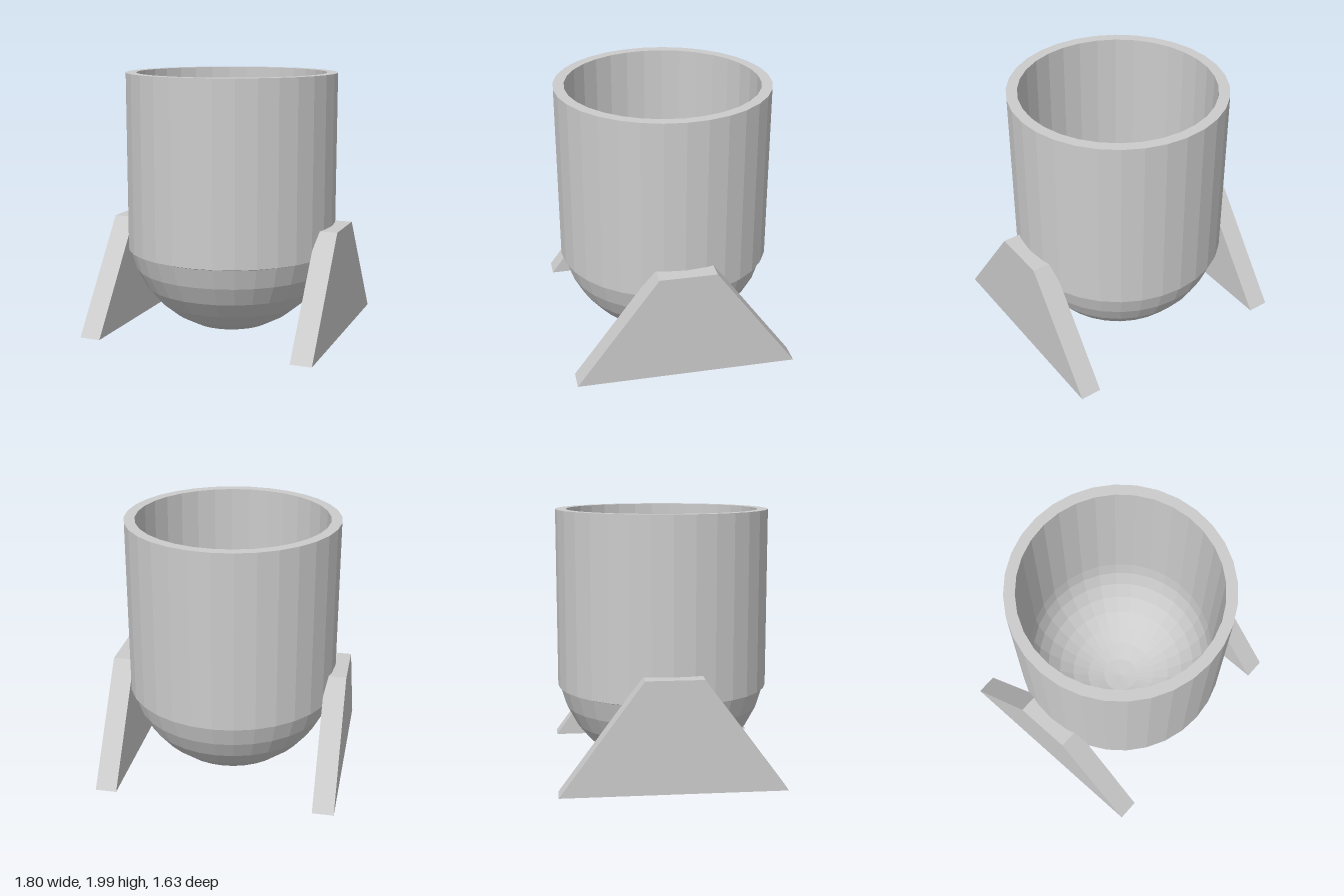
import * as THREE from 'three';

const CENTRE_Y = 0.81; // centre of the rounded bottom
const OUTER_R = 0.8;
const INNER_R = 0.72;
const SIDES = 32;
const RINGS = 8;

// Quarter-circle profile from the pole (k = 0) up to the given ring
function bowlProfile(radius, lastRing) {
  const points = [];
  for (let k = 0; k <= lastRing; k++) {
    const a = (k / RINGS) * Math.PI / 2;
    points.push(new THREE.Vector2(radius * Math.sin(a), CENTRE_Y - radius * Math.cos(a)));
  }
  return points;
}

export function createModel() {
  const group = new THREE.Group();
  const material = new THREE.MeshStandardMaterial({ color: 0xcccccc, flatShading: true });

  // Hollow cup: outer skin upwards, flat rim, inner skin back down
  const profile = [
    ...bowlProfile(OUTER_R, RINGS - 1),
    new THREE.Vector2(OUTER_R, 0.66),
    new THREE.Vector2(OUTER_R, 2),
    new THREE.Vector2(INNER_R, 2),
    ...bowlProfile(INNER_R, RINGS).reverse(),
  ];
  const cup = new THREE.Mesh(new THREE.LatheGeometry(profile, SIDES), material);
  cup.name = 'cup';
  group.add(cup);

  // Trapezoid side supports, let into the cup wall
  const outline = new THREE.Shape([
    new THREE.Vector2(-0.815, 0.05),
    new THREE.Vector2(0.815, 0.05),
    new THREE.Vector2(0.21, 0.87),
    new THREE.Vector2(-0.21, 0.87),
  ]);
  const supportGeometry = new THREE.ExtrudeGeometry(outline, { depth: 0.16, bevelEnabled: false });
  supportGeometry.translate(0, 0, 0.74).rotateY(Math.PI / 2);
  for (const side of [1, -1]) {
    const support = new THREE.Mesh(supportGeometry, material);
    support.name = side > 0 ? 'leftSupport' : 'rightSupport';
    support.rotation.y = side > 0 ? 0 : Math.PI;
    group.add(support);
  }

  return group;
}
